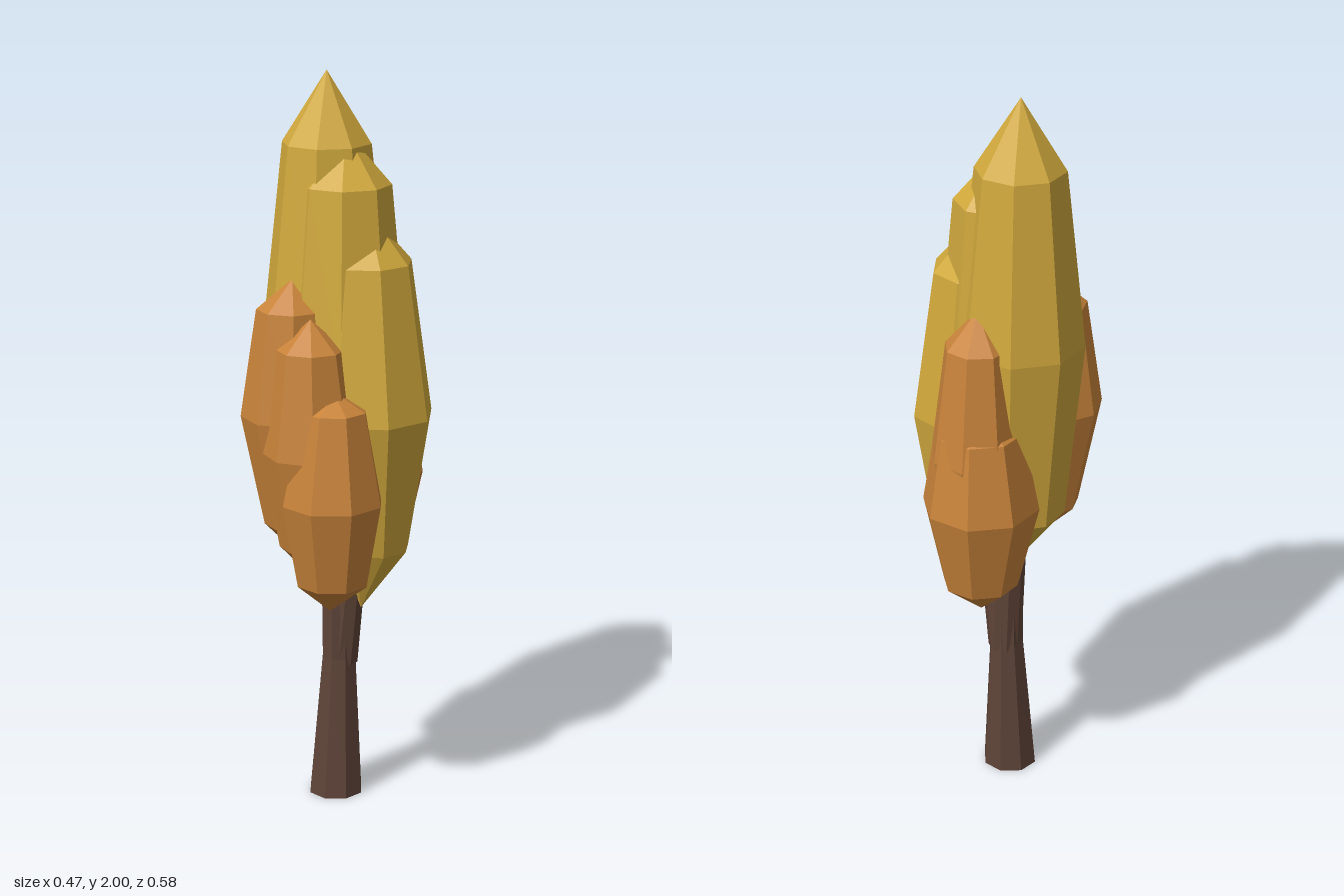
import * as THREE from 'three';

const SIDES = 8;

// Faceted solid lofted through rings of [y, radius, centreX, centreZ], listed bottom to top.
function loft(name, color, rings, phaseDegrees) {
  const phase = THREE.MathUtils.degToRad(phaseDegrees);
  const positions = [];
  const index = [];
  for (const [y, r, cx, cz] of rings) {
    for (let i = 0; i < SIDES; i++) {
      const a = phase + (i / SIDES) * Math.PI * 2;
      positions.push(cx + r * Math.cos(a), y, cz + r * Math.sin(a));
    }
  }
  for (let k = 0; k < rings.length - 1; k++) {
    for (let i = 0; i < SIDES; i++) {
      const j = (i + 1) % SIDES;
      const a = k * SIDES + i, b = k * SIDES + j;
      const c = a + SIDES, d = b + SIDES;
      if (rings[k + 1][1] > 0) index.push(a, c, d);
      if (rings[k][1] > 0) index.push(a, d, b);
      // Rings that close to a point need only one triangle per side.
    }
  }
  const geometry = new THREE.BufferGeometry();
  geometry.setAttribute('position', new THREE.Float32BufferAttribute(positions, 3));
  geometry.setIndex(index);
  const flat = geometry.toNonIndexed();
  flat.computeVertexNormals();
  const mesh = new THREE.Mesh(flat, new THREE.MeshStandardMaterial({ color, flatShading: true }));
  mesh.name = name;
  return mesh;
}

export function createModel() {
  const tree = new THREE.Group();
  tree.name = 'autumnTree';
  const bark = 0x5e4438, gold = 0xd0a83c, orange = 0xc8833a;

  // Trunk, flared at the foot, with branches running up into the foliage
  const wood = new THREE.Group();
  wood.name = 'trunk';
  wood.add(
    loft('mainTrunk', bark, [
      [0, 0, -0.025, 0.013], [0, 0.076, -0.025, 0.013], [0.4, 0.048, -0.02, 0.005],
      [0.7, 0.048, -0.02, 0.005], [1.1, 0, -0.03, 0],
    ], 22.5),
    loft('leftBranch', bark, [
      [0.36, 0, -0.015, 0], [0.38, 0.044, -0.015, 0], [0.8, 0.04, 0.03, -0.01], [0.85, 0, 0.03, -0.01],
    ], 10),
    loft('rightBranch', bark, [
      [0.36, 0, -0.02, 0], [0.38, 0.044, -0.02, 0], [0.8, 0.045, -0.04, 0], [0.85, 0, -0.04, 0],
    ], 0),
  );
  tree.add(wood);

  // Golden crown: three lobes stepping down towards the left
  const crown = new THREE.Group();
  crown.name = 'goldenCrown';
  crown.add(
    loft('tallLobe', gold, [
      [0.62, 0, -0.02, 0], [0.83, 0.13, -0.06, 0], [1.33, 0.172, -0.07, 0],
      [1.81, 0.12, -0.07, 0], [2, 0, -0.07, 0],
    ], 11),
    loft('middleLobe', gold, [
      [0.6, 0, 0.02, 0], [0.77, 0.11, 0.01, 0], [1.22, 0.167, 0.0, 0],
      [1.71, 0.122, 0, 0], [1.85, 0, 0, 0],
    ], 3),
    loft('leftLobe', gold, [
      [0.55, 0, 0.05, -0.01], [0.72, 0.1, 0.065, -0.04], [1.1, 0.172, 0.07, -0.022],
      [1.51, 0.122, 0.06, -0.02], [1.65, 0, 0.06, -0.02],
    ], -17),
  );
  tree.add(crown);

  // Orange front foliage: three lobes, lower and fuller towards the left
  const front = new THREE.Group();
  front.name = 'frontFoliage';
  front.add(
    loft('frontTallLobe', orange, [
      [0.7, 0, -0.04, 0.12], [0.8, 0.085, -0.055, 0.13], [1.1, 0.132, -0.065, 0.14],
      [1.39, 0.092, -0.06, 0.14], [1.47, 0, -0.055, 0.14],
    ], -6),
    loft('frontMiddleLobe', orange, [
      [0.66, 0, 0.03, 0.14], [0.76, 0.088, 0.03, 0.15], [1.02, 0.132, 0.035, 0.155],
      [1.3, 0.09, 0.035, 0.16], [1.38, 0, 0.035, 0.16],
    ], -3),
    loft('frontLowLobe', orange, [
      [0.58, 0, 0.07, 0.125], [0.67, 0.098, 0.095, 0.14], [0.9, 0.138, 0.105, 0.15],
      [1.15, 0.09, 0.11, 0.15], [1.2, 0, 0.11, 0.15],
    ], 22.5),
  );
  tree.add(front);

  // Orange back foliage: a slim lobe rising out of a broad one
  const back = new THREE.Group();
  back.name = 'backFoliage';
  back.add(
    loft('backTallLobe', orange, [
      [0.7, 0, -0.05, -0.13], [0.85, 0.1, -0.05, -0.14], [1.05, 0.125, -0.05, -0.145],
      [1.36, 0.088, -0.05, -0.14], [1.46, 0, -0.05, -0.14],
    ], 20),
    loft('backLowLobe', orange, [
      [0.57, 0, -0.05, -0.13], [0.66, 0.102, -0.055, -0.138], [0.9, 0.158, -0.058, -0.138],
      [1.12, 0.118, -0.055, -0.14], [1.2, 0, -0.05, -0.14],
    ], 15),
  );
  tree.add(back);

  return tree;
}
